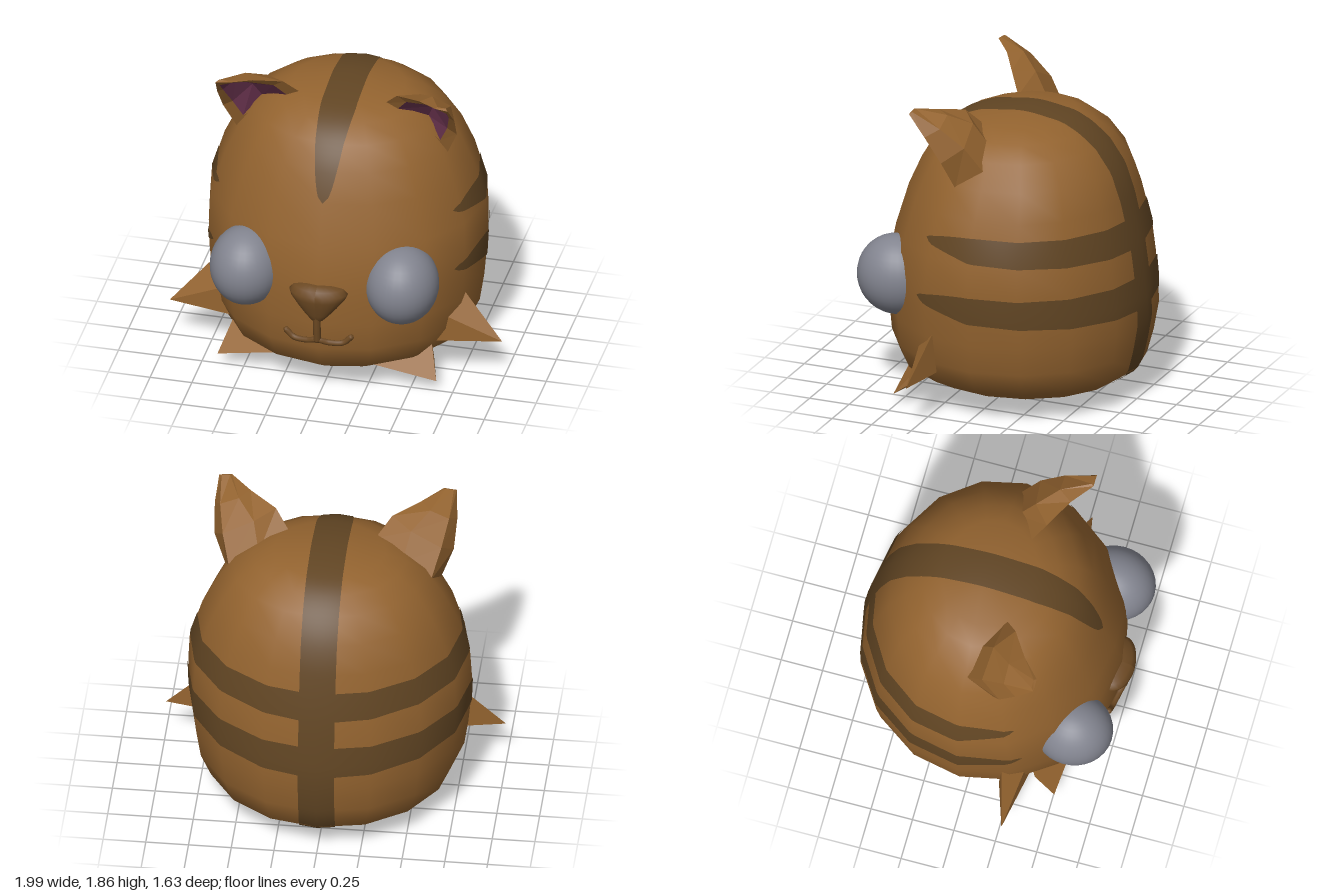
import * as THREE from 'three';
import { mergeVertices } from 'three/addons/utils/BufferGeometryUtils.js';
import { ConvexGeometry } from 'three/addons/geometries/ConvexGeometry.js';

const V = (x, y, z) => new THREE.Vector3(x, y, z);
const DEG = Math.PI / 180;

function material(name, color, side = THREE.FrontSide) {
  const m = new THREE.MeshStandardMaterial({ color, side });
  m.name = name;
  return m;
}

// Grid of points fn(i, j), joined into a smooth surface
function gridGeometry(rows, cols, fn) {
  const pos = [], index = [];
  for (let i = 0; i <= rows; i++) {
    for (let j = 0; j <= cols; j++) {
      pos.push(...fn(i, j).toArray());
      if (i < rows && j < cols) {
        const a = i * (cols + 1) + j, c = a + cols + 1;
        index.push(a, a + 1, c, a + 1, c + 1, c);
      }
    }
  }
  const g = new THREE.BufferGeometry();
  g.setAttribute('position', new THREE.Float32BufferAttribute(pos, 3));
  g.setIndex(index);
  return g;
}

// Flat-shaded quads, each a list of four corners
function quadGeometry(quads) {
  const pts = quads.flatMap(([a, b, c, d]) => [a, b, c, a, c, d]);
  const g = new THREE.BufferGeometry().setFromPoints(pts);
  g.computeVertexNormals();
  return g;
}

export function createModel() {
  const model = new THREE.Group();
  const fur = material('brown fur', 0x93632f);
  const dark = material('dark stripe', 0x614523);
  const noseMat = material('nose brown', 0x6b4822);
  const pink = material('inner ear plum', 0x6b3450, THREE.DoubleSide);
  const grey = material('eye grey', 0x82848f);
  const add = (name, geo, mat) => {
    const m = new THREE.Mesh(geo, mat);
    m.name = name;
    model.add(m);
    return m;
  };

  // Head: oval rings of [height, half width, back z, front z]
  const rings = [
    [0.005, 0, -0.03, -0.03], [0.04, 0.34, -0.38, 0.34], [0.105, 0.56, -0.63, 0.55],
    [0.19, 0.72, -0.75, 0.68], [0.33, 0.785, -0.785, 0.73], [0.5, 0.81, -0.815, 0.745],
    [0.66, 0.825, -0.808, 0.745], [0.82, 0.83, -0.79, 0.735], [1.0, 0.82, -0.765, 0.695],
    [1.25, 0.745, -0.705, 0.62], [1.42, 0.665, -0.645, 0.545], [1.56, 0.565, -0.545, 0.46],
    [1.64, 0.45, -0.44, 0.34], [1.69, 0.33, -0.34, 0.22], [1.74, 0, -0.08, -0.08],
  ];
  const SEG = 16;
  const headGeo = mergeVertices(gridGeometry(rings.length - 1, SEG, (i, j) => {
    const [y, w, zb, zf] = rings[i], a = (j % SEG) / SEG * Math.PI * 2;
    return V(w * Math.sin(a), y, (zb + zf) / 2 + (zf - zb) / 2 * Math.cos(a));
  }));
  headGeo.computeVertexNormals();
  const head = add('head', headGeo, fur);

  // Point on the head seen from centre c along dir, raised by lift
  const ray = new THREE.Raycaster();
  const onHead = (c, dir, lift) => {
    ray.set(c.clone().addScaledVector(dir, 3), dir.clone().negate());
    const hit = ray.intersectObject(head)[0];
    if (!hit) return { p: c.clone(), n: dir.clone() };
    return { p: hit.point.clone().addScaledVector(hit.normal, lift), n: hit.normal.clone() };
  };

  // Stripes: thin skins laid on the head
  function stripe(name, rows, cols, cast) {
    const normals = [];
    const g = gridGeometry(rows, cols, (i, j) => {
      const { c, dir } = cast(i / rows, j / cols * 2 - 1);
      const { p, n } = onHead(c, dir, 0.006);
      normals.push(n.x, n.y, n.z);
      return p;
    });
    g.setAttribute('normal', new THREE.Float32BufferAttribute(normals, 3));
    add(name, g, dark);
  }
  stripe('centreStripe', 96, 8, (s, t) => {
    const a = 31 + 242 * s;
    const w = 0.105 * Math.min(1, (a - 31) / 40) ** 0.45 * Math.min(1, (273 - a) / 38) ** 0.8;
    return { c: V(t * w, 0.85, -0.05), dir: V(0, Math.sin(a * DEG), Math.cos(a * DEG)) };
  });
  for (const [name, tip, y0, y1, h0, h1] of [
    ['upperSideStripe', 66, 1.10, 1.045, 0.068, 0.09],
    ['lowerSideStripe', 63, 0.738, 0.685, 0.078, 0.1],
  ]) {
    stripe(name, 96, 6, (s, t) => {
      const a = 360 - tip - (360 - 2 * tip) * s;
      const d = Math.abs(180 - a), k = 1 - d / (180 - tip);      // 0 at tips, 1 at back
      const half = THREE.MathUtils.lerp(h0, h1, k) * Math.min(1, k / 0.22) ** 0.6;
      const y = THREE.MathUtils.lerp(y0, y1, k) + t * half;
      return { c: V(0, y, -0.03), dir: V(Math.sin(a * DEG), 0, Math.cos(a * DEG)) };
    });
  }

  // Nose: rounded triangle
  const noseProfile = [[0, 0.535], [0.035, 0.54], [0.075, 0.58], [0.12, 0.63], [0.16, 0.68],
    [0.175, 0.715], [0.15, 0.745], [0.09, 0.763], [0, 0.767]];
  const noseGeo = new THREE.LatheGeometry(noseProfile.map(([r, y]) => new THREE.Vector2(r, y)), 24);
  const np = noseGeo.attributes.position;
  for (let i = 0; i < np.count; i++) {
    np.setZ(i, np.getZ(i) * 0.6 + 0.71 + (0.71 - np.getY(i)) * 0.25);
  }
  noseGeo.computeVertexNormals();
  add('nose', noseGeo, noseMat);

  // Mouth: tubes following the face
  const faceTube = (name, pts, r) => {
    const curve = new THREE.CatmullRomCurve3(
      pts.map(([x, y]) => onHead(V(x, y, 0), V(0, 0, 1), 0.012).p));
    add(name, new THREE.TubeGeometry(curve, 32, r, 8), noseMat);
    for (const k of [0, 1]) {
      const end = add(name + 'End', new THREE.SphereGeometry(r, 8, 6), noseMat);
      end.position.copy(curve.getPoint(k));
    }
  };
  faceTube('mouthLine', [[0, 0.56], [0, 0.48], [0, 0.405]], 0.023);
  faceTube('mouth', [[-0.19, 0.425], [-0.145, 0.385], [-0.06, 0.385], [0, 0.403],
    [0.06, 0.385], [0.145, 0.385], [0.19, 0.425]], 0.018);

  // Ear levels from base to tip: outer edge, two back points, inner edge
  const earLevels = [
    [[0.63, 1.40, 0.13], [0.59, 1.50, -0.04], [0.42, 1.60, -0.01], [0.25, 1.67, 0.11]],
    [[0.70, 1.57, 0.19], [0.64, 1.66, 0.07], [0.46, 1.75, 0.09], [0.34, 1.78, 0.19]],
    [[0.71, 1.72, 0.29], [0.67, 1.77, 0.21], [0.56, 1.82, 0.21], [0.50, 1.825, 0.29]],
    [[0.695, 1.845, 0.395], [0.68, 1.855, 0.38], [0.63, 1.858, 0.38], [0.62, 1.853, 0.395]],
  ];

  for (const s of [1, -1]) {
    const side = s > 0 ? 'left' : 'right';
    const P = ([x, y, z]) => V(s * x, y, z);

    const eye = add(side + 'Eye', new THREE.SphereGeometry(1, 32, 20), grey);
    eye.scale.set(0.215, 0.24, 0.237);
    eye.position.set(s * 0.465, 0.745, 0.57);

    // Ear: outer shell, rim and recessed lining
    const L = earLevels.map(l => l.map(P));
    const mixed = (a, b, k) => a.map((p, i) => p.clone().lerp(b[i], k));
    const inner = [mixed(L[0], L[1], 0.28), L[1], L[2], mixed(L[3], L[2], 0.4)];
    const loops = L.map((l, i) => {
      const [e0, b, c, e3] = inner[i];
      const r3 = e3.clone().lerp(e0, 0.16), r0 = e0.clone().lerp(e3, 0.16);
      const mid = r0.clone().lerp(r3, 0.5);
      const deep = mid.clone().lerp(b.clone().lerp(c, 0.5), i === 3 ? 0 : 0.65);
      return [...l, r3, deep, r0];
    });
    const quad = (a, b, c, d) => (s > 0 ? [a, b, c, d] : [d, c, b, a]);
    const shell = [], lining = [];
    for (let i = 0; i < 3; i++) {
      for (let j = 0; j < 7; j++) {
        const k = (j + 1) % 7, lo = loops[i], hi = loops[i + 1];
        (j === 4 || j === 5 ? lining : shell).push(quad(lo[j], lo[k], hi[k], hi[j]));
      }
    }
    const base = loops[0], tip = loops[3];
    shell.push(quad(base[3], base[0], base[6], base[4]));
    shell.push(quad(tip[4], tip[6], tip[0], tip[3]));
    shell.push(quad(tip[3], tip[0], tip[1], tip[2]));
    add(side + 'Ear', quadGeometry(shell), fur);
    add(side + 'EarLining', quadGeometry(lining), pink);

    // Cheek tufts
    add(side + 'UpperCheekTuft', new ConvexGeometry([[0.76, 0.52, 0.22], [0.66, 0.42, 0.34],
      [0.59, 0.25, 0.36], [0.995, 0.255, 0.285], [0.74, 0.28, 0.2]].map(P)), fur);
    add(side + 'LowerCheekTuft', new ConvexGeometry([[0.59, 0.25, 0.36], [0.29, 0.155, 0.55],
      [0.655, 0.07, 0.51], [0.5, 0.13, 0.38], [0.61, 0.16, 0.38]].map(P)), fur);
  }
  return model;
}
